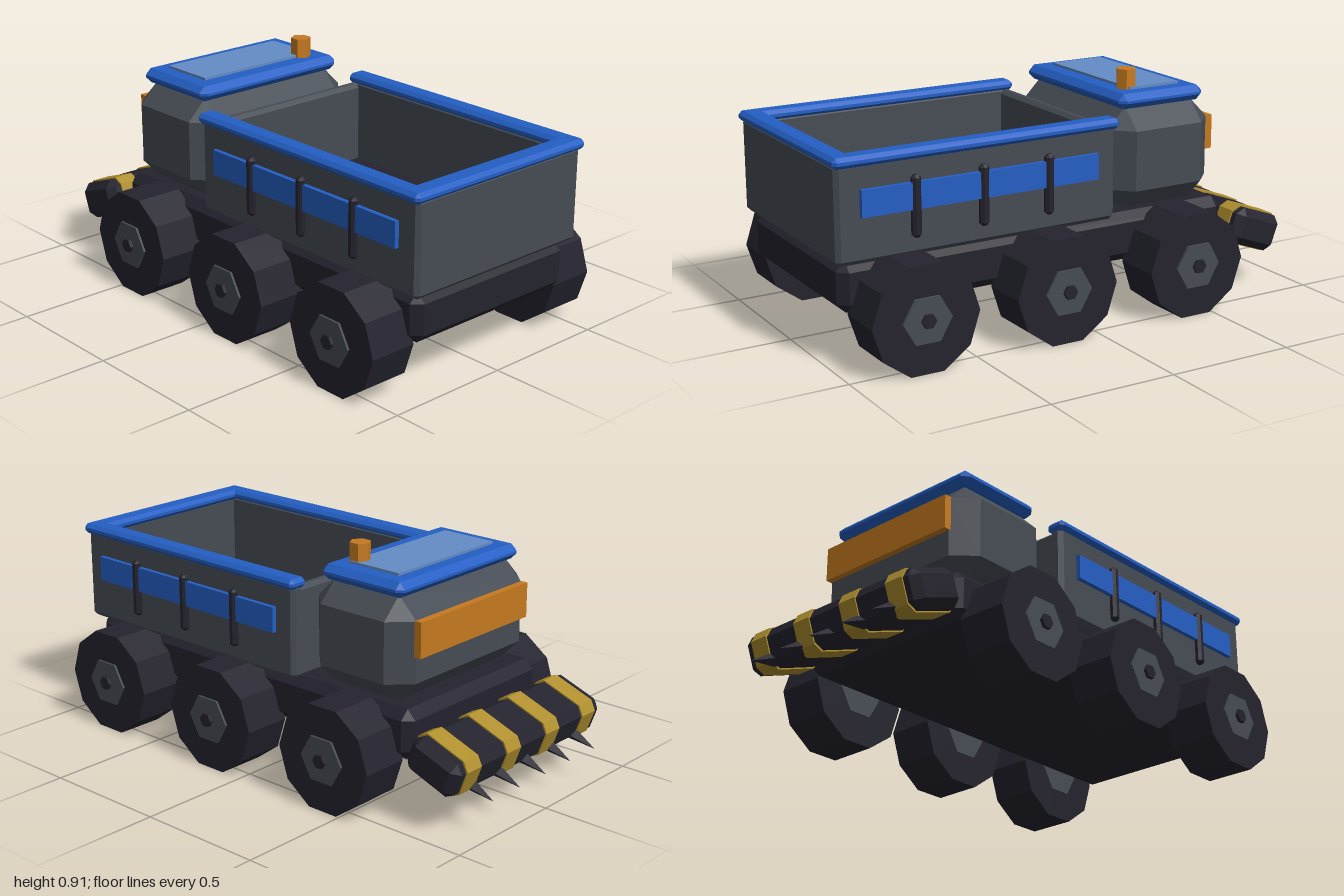
import * as THREE from 'three';
import { ConvexGeometry } from 'three/addons/geometries/ConvexGeometry.js';

const mat = (name, color) => {
  const m = new THREE.MeshStandardMaterial({ color, flatShading: true });
  m.name = name;
  return m;
};

// Box with flat chamfers on every edge
function chamferBox(w, h, d, b) {
  const [x, y, z] = [w / 2, h / 2, d / 2];
  const pts = [];
  for (const i of [-1, 1]) for (const j of [-1, 1]) for (const k of [-1, 1]) {
    pts.push(
      new THREE.Vector3(i * x, j * (y - b), k * (z - b)),
      new THREE.Vector3(i * (x - b), j * y, k * (z - b)),
      new THREE.Vector3(i * (x - b), j * (y - b), k * z));
  }
  return new ConvexGeometry(pts);
}

export function createModel() {
  const dark = mat('dark rubber and frame', 0x24232e);
  const grey = mat('grey steel', 0x464c54);
  const blue = mat('blue paint', 0x245fc4);
  const glass = mat('pale blue glass', 0x648cc6);
  const orange = mat('orange', 0xc67a20);
  const yellow = mat('hazard yellow', 0xb0902f);

  const model = new THREE.Group();
  model.name = 'truck';
  const add = (name, geometry, material, x, y, z, parent = model) => {
    const m = new THREE.Mesh(geometry, material);
    m.name = name;
    m.position.set(x, y, z);
    parent.add(m);
    return m;
  };
  // Chamfered box given by its limits on each axis
  const block = (name, material, [x0, x1], [y0, y1], [z0, z1], b) =>
    add(name, chamferBox(x1 - x0, y1 - y0, z1 - z0, b), material,
      (x0 + x1) / 2, (y0 + y1) / 2, (z0 + z1) / 2);

  // Chassis
  block('chassis', dark, [-0.385, 0.385], [0.2, 0.39], [-0.675, 0.97], 0.036);

  // Cargo bed: floor and four walls
  block('bedFloor', grey, [-0.4, 0.4], [0.385, 0.42], [-0.14, 0.98], 0.01);
  add('bedLiner', new THREE.BoxGeometry(0.72, 0.008, 1.04), dark, 0, 0.423, 0.42);
  for (const s of [-1, 1]) {
    const wall = [s * 0.41, s * 0.352].sort((a, b) => a - b);
    block('bedSideWall', grey, wall, [0.388, 0.75], [-0.147, 0.99], 0.016);
  }
  block('bedFrontWall', grey, [-0.4, 0.4], [0.388, 0.74], [-0.147, -0.1], 0.015);
  block('bedBackWall', grey, [-0.41, 0.41], [0.388, 0.75], [0.93, 0.99], 0.016);

  // Rim on the sides and back
  for (const s of [-1, 1]) {
    const bar = [s * 0.426, s * 0.346].sort((a, b) => a - b);
    block('bedSideRim', blue, bar, [0.735, 0.775], [-0.157, 1], 0.014);
  }
  block('bedBackRim', blue, [-0.426, 0.426], [0.735, 0.775], [0.915, 1], 0.014);

  // Side panels and ribs
  for (const s of [-1, 1]) {
    add('sidePanel', new THREE.BoxGeometry(0.02, 0.098, 0.96), blue, s * 0.418, 0.606, 0.42);
    for (const z of [0.69, 0.42, 0.15]) {
      add('sideRib', chamferBox(0.034, 0.226, 0.036, 0.011), dark, s * 0.42, 0.568, z);
    }
  }

  // Cab
  block('cab', grey, [-0.385, 0.385], [0.39, 0.782], [-0.637, -0.178], 0.08);
  block('cabRoof', blue, [-0.346, 0.346], [0.778, 0.836], [-0.598, -0.215], 0.024);
  add('skylight', new THREE.BoxGeometry(0.54, 0.016, 0.225), glass, 0, 0.838, -0.412);
  add('windscreen', new THREE.BoxGeometry(0.62, 0.134, 0.04), orange, 0, 0.638, -0.642);
  add('beacon', new THREE.CylinderGeometry(0.04, 0.04, 0.1, 6), orange, 0.23, 0.862, -0.31);

  // Wheels with hub and cap
  for (const s of [-1, 1]) for (const z of [0.727, 0.152, -0.423]) {
    const wheel = new THREE.Group();
    wheel.name = 'wheel';
    wheel.position.set(s * 0.462, 0.2, z);
    model.add(wheel);
    const disc = (name, r, width, sides, m, x) => {
      const g = new THREE.CylinderGeometry(r, r, width, sides).rotateZ(Math.PI / 2);
      add(name, g, m, s * x, 0, 0, wheel);
    };
    disc('tyre', 0.21, 0.192, 10, dark, 0);
    disc('hub', 0.096, 0.21, 6, grey, 0);
    disc('hubCap', 0.028, 0.06, 6, dark, 0.088);
  }

  // Tilted ram with stripes and spikes
  const ram = new THREE.Group();
  ram.name = 'ram';
  ram.position.set(0, 0.24, -0.812);
  ram.rotation.x = -THREE.MathUtils.degToRad(20);
  model.add(ram);
  add('ramBar', chamferBox(0.88, 0.146, 0.222, 0.03), dark, 0, 0, 0, ram);
  for (const x of [-0.345, -0.117, 0.117, 0.345]) {
    // Stripe band follows the chamfered section of the bar
    const [h, d, c] = [0.078, 0.116, 0.03];
    const band = new THREE.Shape([
      [-d + c, -h], [d - c, -h], [d, -h + c], [d, h - c],
      [d - c, h], [-d + c, h], [-d, h - c], [-d, -h + c],
    ].map(p => new THREE.Vector2(...p)));
    const g = new THREE.ExtrudeGeometry(band, { depth: 0.08, bevelEnabled: false });
    g.translate(0, 0, -0.04).rotateY(Math.PI / 2);
    add('ramStripe', g, yellow, x, 0, 0, ram);
  }
  for (let i = -2; i <= 2; i++) {
    const g = new THREE.ConeGeometry(0.03, 0.12, 4).rotateX(-Math.PI / 2);
    add('ramSpike', g, dark, i * 0.154, -0.04, -0.148, ram);
  }
  return model;
}
